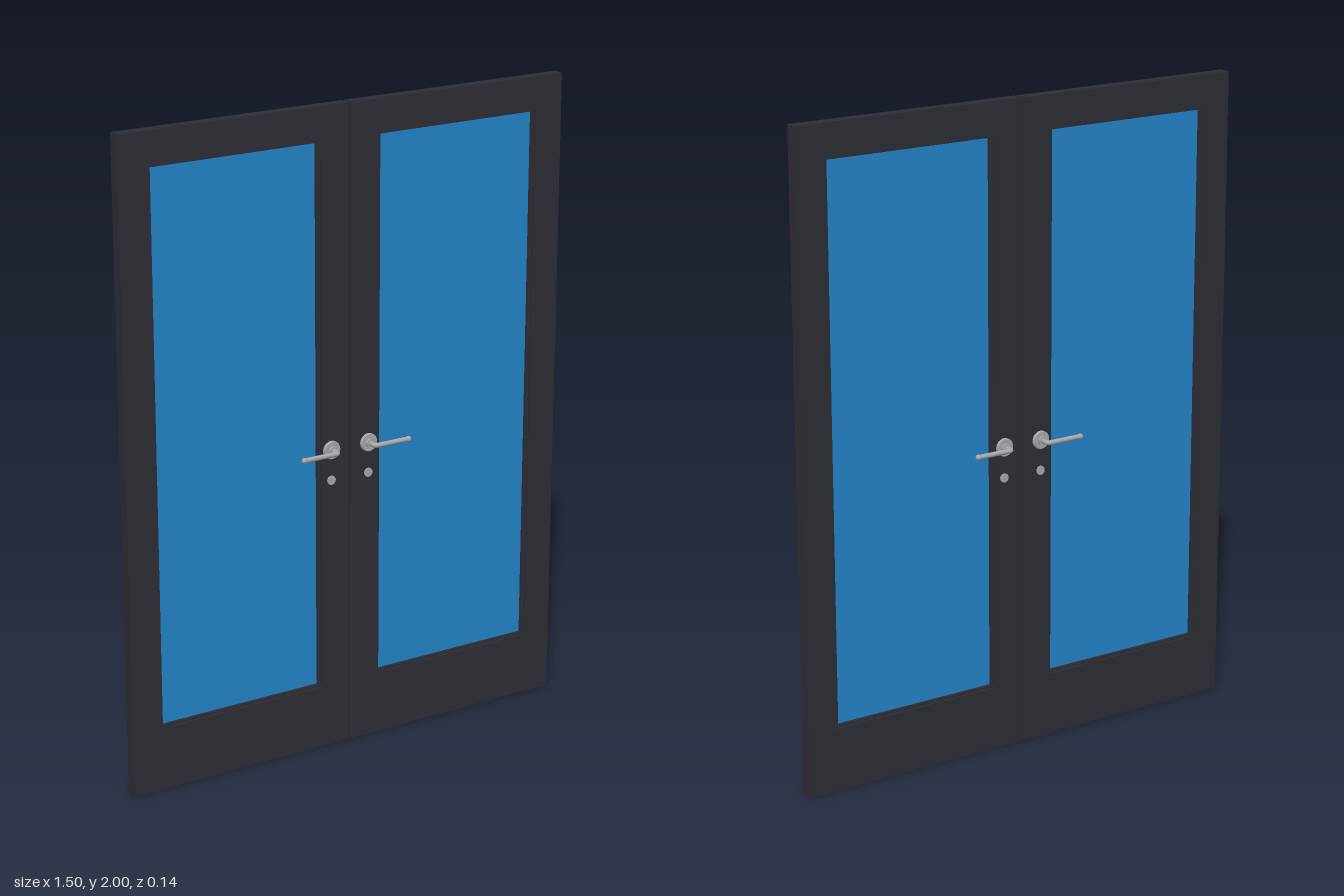
import * as THREE from 'three';

const frameMat = new THREE.MeshStandardMaterial({ color: 0x2d2d35 });
frameMat.name = 'charcoal frame';
const glassMat = new THREE.MeshStandardMaterial({ color: 0x2284c8 });
glassMat.name = 'blue glass';
const metalMat = new THREE.MeshStandardMaterial({ color: 0xa8a8aa });
metalMat.name = 'brushed metal';

const HALF = 0.019; // half thickness of a door leaf
const LEVER_Y = 0.96, LOCK_Y = 0.864, LOCK_X = 0.065;

function add(parent, name, geometry, material, x = 0, y = 0, z = 0) {
  const mesh = new THREE.Mesh(geometry, material);
  mesh.name = name;
  mesh.position.set(x, y, z);
  parent.add(mesh);
  return mesh;
}

// Box given by its x and y limits, centred on z = 0
function slab(parent, name, x0, x1, y0, y1, depth, material) {
  return add(parent, name, new THREE.BoxGeometry(x1 - x0, y1 - y0, depth), material, (x0 + x1) / 2, (y0 + y1) / 2);
}

// Turned round part whose axis points along +z
function turned(profile) {
  const points = profile.map(([r, h]) => new THREE.Vector2(r, h));
  return new THREE.LatheGeometry(points, 32).rotateX(Math.PI / 2);
}

// Lever, rosette and lock cover for one face, facing +z, lever towards +x
function makeHandle() {
  const handle = new THREE.Group();
  handle.name = 'handle';
  add(handle, 'rosette', turned([[0.028, 0], [0.028, 0.007], [0.026, 0.009], [0.026, 0.009], [0, 0.009]]), metalMat, 0, 0, HALF);
  add(handle, 'hub', turned([[0.013, 0], [0.013, 0.008], [0.013, 0.008], [0, 0.008]]), metalMat, 0, 0, HALF + 0.008);
  const path = new THREE.CurvePath();
  const v = (x, z) => new THREE.Vector3(x, 0, z);
  path.add(new THREE.LineCurve3(v(0, HALF), v(0, 0.052)));
  path.add(new THREE.QuadraticBezierCurve3(v(0, 0.052), v(0, 0.06), v(0.008, 0.06)));
  path.add(new THREE.LineCurve3(v(0.008, 0.06), v(0.117, 0.06)));
  add(handle, 'lever', new THREE.TubeGeometry(path, 60, 0.0075, 16), metalMat);
  add(handle, 'leverTip', new THREE.SphereGeometry(0.009, 20, 14), metalMat, 0.117, 0, 0.06);
  return handle;
}

function makeLeaf(name) {
  const leaf = new THREE.Group();
  leaf.name = name;

  // Stiles run the full height, rails sit between them
  slab(leaf, 'lockStile', 0.004, 0.098, 0, 2, HALF * 2, frameMat);
  slab(leaf, 'hingeStile', 0.658, 0.75, 0, 2, HALF * 2, frameMat);
  slab(leaf, 'bottomRail', 0.098, 0.658, 0, 0.198, HALF * 2 - 0.001, frameMat);
  slab(leaf, 'topRail', 0.098, 0.658, 1.904, 2, HALF * 2 - 0.001, frameMat);

  // Recessed bead around the pane
  const bead = new THREE.Shape();
  bead.moveTo(0.098, 0.198).lineTo(0.658, 0.198).lineTo(0.658, 1.904).lineTo(0.098, 1.904).closePath();
  const hole = new THREE.Path();
  hole.moveTo(0.109, 0.207).lineTo(0.109, 1.894).lineTo(0.647, 1.894).lineTo(0.647, 0.207).closePath();
  bead.holes.push(hole);
  const beadGeometry = new THREE.ExtrudeGeometry(bead, { depth: 0.024, bevelEnabled: false });
  add(leaf, 'glazingBead', beadGeometry, frameMat, 0, 0, -0.012);
  slab(leaf, 'glassPane', 0.105, 0.651, 0.203, 1.898, 0.006, glassMat);

  // The handle is symmetric top to bottom, so a half turn about x gives the back one
  const lockProfile = [[0.014, 0], [0.014, 0.004], [0.014, 0.004], [0, 0.004]];
  for (const [side, turn] of [[1, 0], [-1, Math.PI]]) {
    const handle = makeHandle();
    handle.name = side > 0 ? 'frontHandle' : 'backHandle';
    handle.position.set(LOCK_X, LEVER_Y, 0);
    handle.rotation.x = turn;
    leaf.add(handle);
    const lock = add(leaf, 'lockCover', turned(lockProfile), metalMat, LOCK_X, LOCK_Y, side * HALF);
    lock.rotation.x = turn;
  }
  return leaf;
}

export function createModel() {
  const model = new THREE.Group();
  model.name = 'doubleDoor';
  const left = makeLeaf('leftLeaf');
  const right = makeLeaf('rightLeaf');
  right.rotation.y = Math.PI; // same on both faces, so a half turn mirrors it
  model.add(left, right);
  return model;
}
